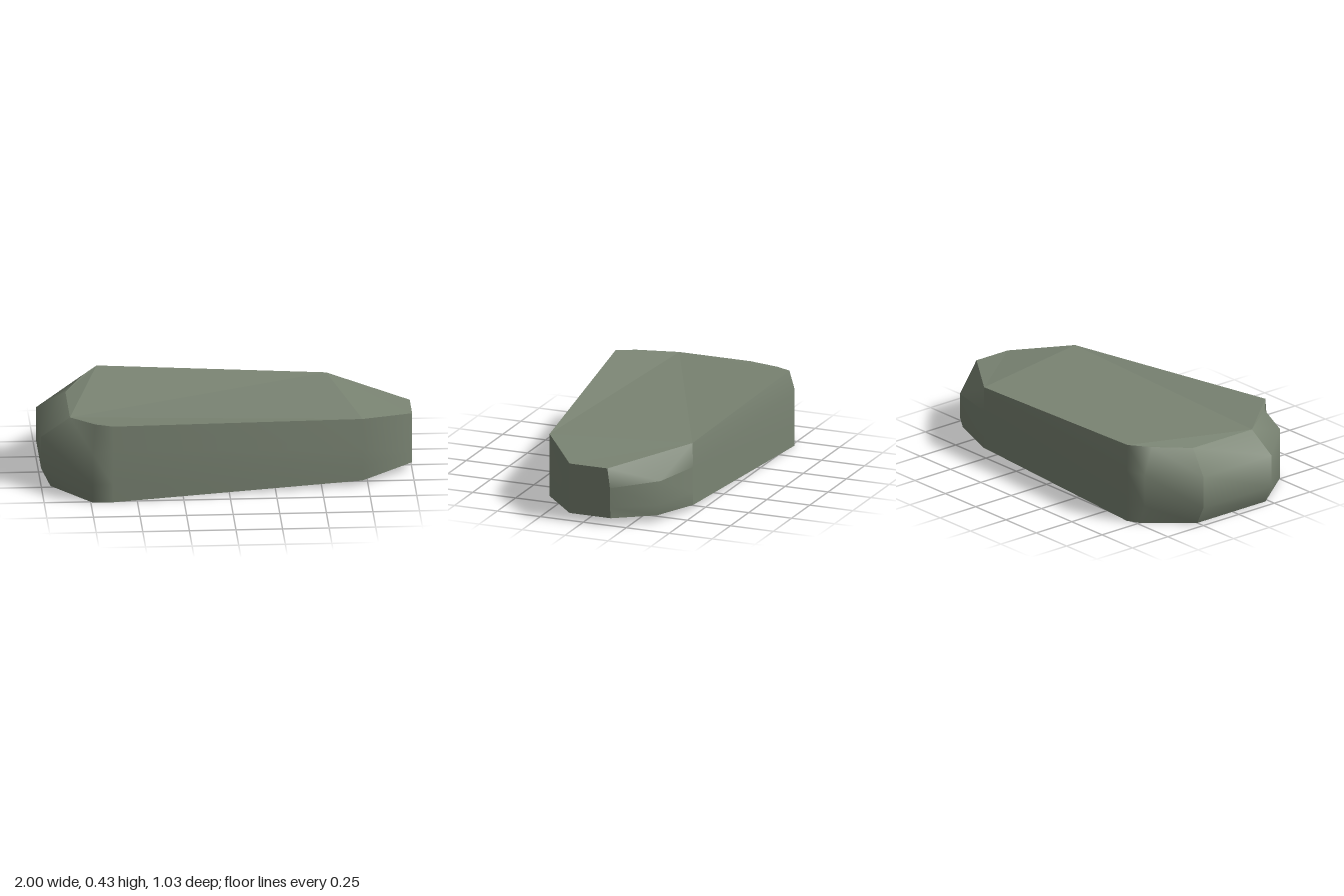
import * as THREE from 'three';
import { mergeGeometries } from 'three/addons/utils/BufferGeometryUtils.js';

// Outlines [x, y, z], starting at the -x end and running round by the back (-z).
// The top outline repeats one corner where the chipped back corner fans out.
const topRing = [
  [-0.845, 0.385, -0.19], [-0.74, 0.41, -0.39], [-0.66, 0.425, -0.495], [0.57, 0.375, -0.453],
  [0.57, 0.375, -0.453], [1, 0.32, -0.14], [1, 0.32, 0.08], [0.72, 0.375, 0.315],
  [-0.63, 0.425, 0.503], [-0.72, 0.41, 0.42], [-0.845, 0.385, 0.225],
];
const shoulderRing = [
  [-1, 0.28, -0.25], [-0.78, 0.28, -0.475], [-0.68, 0.29, -0.517], [0.57, 0.24, -0.456],
  [0.85, 0.235, -0.385], [1, 0.21, -0.155], [1, 0.2, 0.08], [0.72, 0.2, 0.317],
  [-0.63, 0.29, 0.515], [-0.74, 0.28, 0.513], [-1, 0.28, 0.23],
];
const baseRing = [
  [-0.95, 0, -0.25], [-0.75, 0, -0.485], [-0.68, 0, -0.517], [0.57, 0.027, -0.456],
  [0.85, 0.04, -0.365], [1, 0.042, -0.16], [1, 0.042, 0.08], [0.72, 0.027, 0.317],
  [-0.63, 0, 0.515], [-0.74, 0, 0.513], [-0.95, 0, 0.23],
];
// The lower ring is the shoulder dropped straight down
const lowerRing = shoulderRing.map(([x, , z]) => [x, 0.1, z]);
const rings = [topRing, shoulderRing, lowerRing, baseRing];

function surface(points, index) {
  const geometry = new THREE.BufferGeometry();
  geometry.setAttribute('position', new THREE.Float32BufferAttribute(points.flat(), 3));
  geometry.setIndex(index);
  return geometry;
}

// Smooth stretch of wall over some columns and rows of the rings
function wall(firstColumn, lastColumn, firstRow, lastRow) {
  const rows = rings.slice(firstRow, lastRow + 1);
  const n = lastColumn - firstColumn + 1;
  const points = rows.flatMap((ring) => Array.from({ length: n }, (_, i) => ring[(firstColumn + i) % ring.length]));
  const index = [];
  for (let r = 0; r < rows.length - 1; r++) {
    for (let i = 0; i < n - 1; i++) {
      const a = r * n + i, b = a + 1, c = a + n, d = c + 1;
      index.push(a, b, c, b, d, c);
    }
  }
  const geometry = surface(points, index).toNonIndexed();
  const smooth = surface(points, index);
  smooth.computeVertexNormals();
  geometry.setAttribute('normal', smooth.toNonIndexed().getAttribute('normal'));
  return geometry;
}

// Flat-faceted cap
function cap(ring, triangles) {
  const geometry = surface(ring, triangles.flat()).toNonIndexed();
  geometry.computeVertexNormals();
  return geometry;
}

export function createModel() {
  const stoneGrey = new THREE.MeshStandardMaterial({ color: 0x7a8473 });
  stoneGrey.name = 'mossy stone grey';

  const parts = {
    topFace: [cap(topRing, [
      [0, 2, 1], [0, 10, 2], [2, 10, 3], [3, 10, 7], [7, 10, 8], [8, 10, 9], [3, 6, 5], [3, 7, 6],
    ])],
    bottomFace: [cap(baseRing, [
      [0, 1, 2], [0, 2, 3], [0, 3, 7], [0, 7, 8], [0, 8, 9], [0, 9, 10], [3, 4, 5], [3, 5, 6], [3, 6, 7],
    ])],
    backSide: [wall(0, 3, 0, 3)],
    chippedCorner: [wall(3, 5, 0, 1), wall(3, 5, 1, 3)],
    leftEnd: [wall(5, 6, 0, 3)],
    frontSide: [wall(6, 10, 0, 3)],
    rightEnd: [wall(10, 11, 0, 3)],
  };

  const group = new THREE.Group();
  group.name = 'flatStone';
  for (const [name, pieces] of Object.entries(parts)) {
    const mesh = new THREE.Mesh(mergeGeometries(pieces), stoneGrey);
    mesh.name = name;
    group.add(mesh);
  }
  return group;
}
